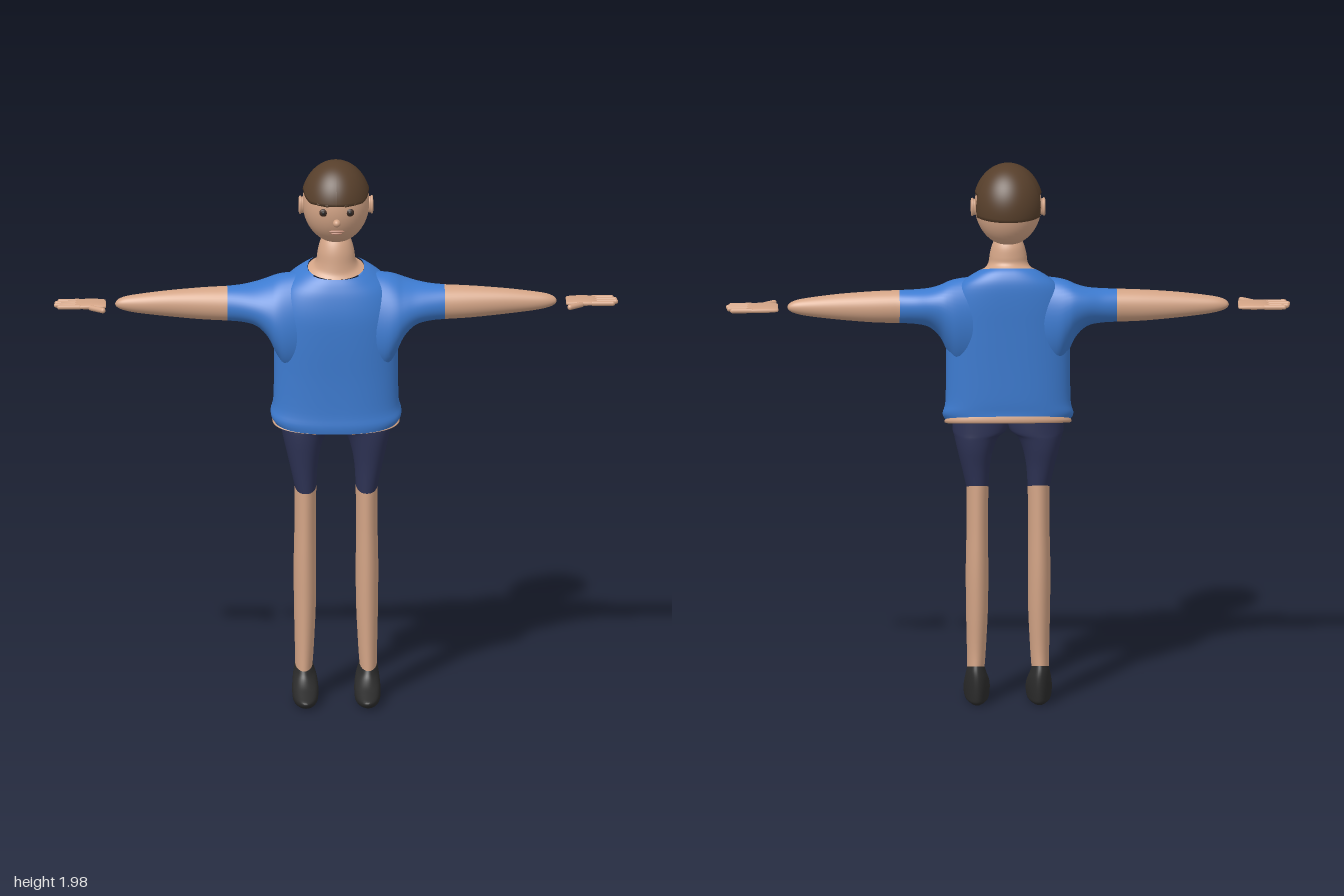
import * as THREE from 'three';

const mat = (name, color, side = THREE.FrontSide) => {
  const m = new THREE.MeshStandardMaterial({ color, side });
  m.name = name;
  return m;
};

// Smooth in-between rows for the lofts
function refine(rows, steps) {
  const out = [];
  const at = i => rows[Math.min(Math.max(i, 0), rows.length - 1)];
  for (let i = 0; i < rows.length - 1; i++) {
    for (let k = 0; k < steps; k++) {
      const t = k / steps;
      out.push(rows[i].map((b, c) => {
        const a = at(i - 1)[c], d = at(i + 1)[c], e = at(i + 2)[c];
        return b + 0.5 * t * (d - a + t * (2 * a - 5 * b + 4 * d - e + t * (3 * (b - d) + e - a)));
      }));
    }
  }
  out.push(rows[rows.length - 1]);
  return out;
}

// Closed skin over rings; ring(row, cos, sin) gives a point
function loft(rows, ring, { n = 40, p = 2, steps = 4, capStart = false, capEnd = false } = {}) {
  const all = refine(rows, steps), pos = [], idx = [];
  const pw = v => Math.sign(v) * Math.abs(v) ** (2 / p);
  for (const r of all) {
    for (let j = 0; j < n; j++) {
      const a = (j / n) * Math.PI * 2;
      pos.push(...ring(r, pw(Math.cos(a)), pw(Math.sin(a))));
    }
  }
  for (let i = 0; i < all.length - 1; i++) {
    for (let j = 0; j < n; j++) {
      const a = i * n + j, b = i * n + (j + 1) % n;
      idx.push(a, a + n, b, b, a + n, b + n);
    }
  }
  const cap = (row, start, flip) => {
    const c = pos.length / 3;
    pos.push(...ring(row, 0, 0));
    for (let j = 0; j < n; j++) {
      const a = start + j, b = start + (j + 1) % n;
      idx.push(c, ...(flip ? [b, a] : [a, b]));
    }
  };
  if (capStart) cap(all[0], 0, false);
  if (capEnd) cap(all[all.length - 1], (all.length - 1) * n, true);
  const g = new THREE.BufferGeometry();
  g.setAttribute('position', new THREE.Float32BufferAttribute(pos, 3));
  g.setIndex(idx);
  g.computeVertexNormals();
  return g;
}

// Upright rows: [y, centre x, half width, front z, back z, forward slope]
const upright = ([y, cx, hx, zf, zb, s], c, d) => {
  const z = (zf + zb) / 2 + d * (zf - zb) / 2;
  return [cx + c * hx, y - s * z, z];
};
// Sideways rows: [x, top y, bottom y, front z, back z, forward slope]
const sideways = ([x, yt, yb, zf, zb, s], c, d) => {
  const dz = -d * (zf - zb) / 2;
  return [x, (yt + yb) / 2 + c * (yt - yb) / 2 - s * dz, (zf + zb) / 2 + dz];
};

function mirrored(geo) {
  const g = geo.clone().scale(-1, 1, 1);
  const ix = g.index.array;
  for (let i = 0; i < ix.length; i += 3) [ix[i], ix[i + 1]] = [ix[i + 1], ix[i]];
  return g;
}

const ball = (x, y, z, rx, ry, rz) => new THREE.SphereGeometry(1, 24, 16).scale(rx, ry, rz).translate(x, y, z);

// Rounded rod between two points
function rod(a, b, r) {
  const A = new THREE.Vector3(...a), B = new THREE.Vector3(...b), d = B.clone().sub(A);
  const q = new THREE.Quaternion().setFromUnitVectors(new THREE.Vector3(0, 1, 0), d.clone().normalize());
  return new THREE.CapsuleGeometry(r, d.length(), 6, 14).applyQuaternion(q).translate(...A.add(B).multiplyScalar(0.5).toArray());
}

export function createModel() {
  const skin = mat('skin', 0xd3a486), shirt = mat('shirt blue', 0x3d7bd0), navy = mat('shorts navy', 0x2d3254);
  const hair = mat('hair brown', 0x573f2b, THREE.DoubleSide), black = mat('shoe black', 0x2b2b2b);
  const eye = mat('eye brown', 0x3b2a22), lip = mat('lip pink', 0xbd8874);
  const model = new THREE.Group();
  model.name = 'standingBoy';
  const add = (name, geo, m) => {
    const mesh = new THREE.Mesh(geo, m);
    mesh.name = name;
    model.add(mesh);
  };
  const pair = (name, geo, m) => {
    add(name + 'Left', geo, m);
    add(name + 'Right', mirrored(geo), m);
  };

  // Shirt body with slanted, flared hem
  const hem = [1.032, 0, 0.222, 0.085, -0.122, 0.36], collar = [1.58, 0, 0.1, 0.05, -0.1, 0.35];
  add('shirtBody', loft([
    hem, [1.055, 0, 0.232, 0.088, -0.122, 0.32], [1.1, 0, 0.222, 0.084, -0.125, 0.3],
    [1.22, 0, 0.22, 0.085, -0.128, 0.3], [1.35, 0, 0.219, 0.09, -0.132, 0.3],
    [1.45, 0, 0.212, 0.09, -0.135, 0.3], [1.52, 0, 0.185, 0.078, -0.132, 0.3],
    [1.56, 0, 0.135, 0.063, -0.117, 0.33], collar,
  ], upright, { n: 64, p: 2.5 }), shirt);
  add('hemUnderside', loft([
    hem, [1.024, 0, 0.226, 0.086, -0.126, 0.26], [1.02, 0, 0.205, 0.075, -0.112, 0.25],
    [1.035, 0, 0.15, 0.05, -0.08, 0.25],
  ].reverse(), upright, { n: 64, p: 2.5, capStart: true, steps: 2 }), skin);

  // Neck
  add('neck', loft([
    collar, [1.592, 0, 0.08, 0.041, -0.092, 0.33], [1.615, 0, 0.069, 0.036, -0.087, 0.2],
    [1.65, 0, 0.065, 0.031, -0.086, 0], [1.685, 0, 0.056, 0.02, -0.08, 0], [1.72, 0, 0.04, 0, -0.06, 0],
  ], upright, { capEnd: true }), skin);

  // Sleeves and forearms
  const cuff = [0.385, 1.517, 1.397, 0.032, -0.085, 0.1];
  pair('sleeve', loft([
    [0.08, 1.57, 1.22, 0.06, -0.11, 0.3], [0.17, 1.56, 1.22, 0.08, -0.13, 0.3],
    [0.21, 1.55, 1.28, 0.08, -0.131, 0.3], [0.24, 1.537, 1.343, 0.07, -0.126, 0.28],
    [0.28, 1.526, 1.382, 0.055, -0.115, 0.22], [0.33, 1.52, 1.394, 0.042, -0.098, 0.15], cuff,
  ], sideways, { n: 48 }), shirt);
  pair('forearm', loft([
    cuff, [0.48, 1.513, 1.401, 0.025, -0.08, 0.05], [0.6, 1.504, 1.412, 0.015, -0.07, 0],
    [0.7, 1.492, 1.424, 0.005, -0.06, 0], [0.75, 1.483, 1.434, -0.003, -0.052, 0],
    [0.775, 1.471, 1.445, -0.013, -0.042, 0], [0.782, 1.459, 1.455, -0.024, -0.03, 0],
  ], sideways, { capEnd: true }), skin);

  // Hands
  pair('palm', loft([
    [0.815, 1.461, 1.452, 0.004, -0.064, 0], [0.82, 1.465, 1.448, 0.014, -0.073, 0],
    [0.86, 1.468, 1.445, 0.016, -0.076, 0], [0.91, 1.466, 1.446, 0.015, -0.075, 0],
    [0.93, 1.459, 1.452, 0.006, -0.068, 0],
  ], sideways, { p: 2.8, steps: 3, capStart: true, capEnd: true }), skin);
  [0.977, 0.988, 0.991, 0.98].forEach((tip, i) => {
    const z = -0.066 + i * 0.0242;
    pair('finger' + (i + 1), rod([0.91, 1.456, z], [tip, 1.456, z], 0.009), skin);
  });
  pair('thumb', rod([0.868, 1.454, 0.012], [0.828, 1.454, 0.045], 0.01), skin);

  // Shorts, legs and shoes
  const cut = [0.785, 0.1085, 0.039, 0.047, -0.089, 0.31], ankle = [0.125, 0.114, 0.031, 0.042, -0.082, 0.27];
  pair('shortsLeg', loft([
    cut, [0.87, 0.115, 0.051, 0.052, -0.098, 0.12], [0.94, 0.116, 0.066, 0.058, -0.108, 0],
    [0.985, 0.111, 0.081, 0.06, -0.112, 0], [1.01, 0.1, 0.097, 0.06, -0.112, 0], [1.08, 0.095, 0.1, 0.055, -0.11, 0],
  ], upright, { p: 2.2 }), navy);
  pair('leg', loft([
    ankle, [0.2, 0.112, 0.034, 0.042, -0.081, 0.1], [0.35, 0.11, 0.039, 0.044, -0.09, 0],
    [0.5, 0.11, 0.04, 0.046, -0.095, 0], [0.65, 0.109, 0.038, 0.046, -0.092, 0.1], cut,
  ], upright), skin);
  pair('shoe', loft([
    [0, 0.11, 0.028, 0.12, -0.07, 0], [0.011, 0.11, 0.042, 0.155, -0.09, 0], [0.03, 0.11, 0.046, 0.166, -0.095, 0],
    [0.06, 0.11, 0.046, 0.13, -0.097, 0.1], [0.085, 0.111, 0.042, 0.085, -0.095, 0.2],
    [0.105, 0.113, 0.036, 0.055, -0.09, 0.25], ankle,
  ], upright, { capStart: true }), black);

  // Head
  const H = { y: 1.83, z: -0.026, rx: 0.119, ry: 0.146, rz: 0.127 };
  add('head', new THREE.SphereGeometry(1, 48, 32).scale(H.rx, H.ry, H.rz).translate(0, H.y, H.z), skin);
  const faceZ = (x, y) => H.z + H.rz * Math.sqrt(1 - (x / H.rx) ** 2 - ((y - H.y) / H.ry) ** 2);

  // Hair cap: low at the nape, raised over the ears, fringe in front
  const cap = new THREE.SphereGeometry(1, 96, 24), P = cap.attributes.position, cols = 97;
  for (let i = 0; i < P.count; i++) {
    const row = Math.floor(i / cols), az = ((i % cols) / (cols - 1)) * Math.PI * 2, c = Math.cos(az);
    const edge = c < -0.34 ? 1.798 : c < 0.2 ? 1.876 : 1.876 - 0.028 * Math.min(1, (c - 0.2) / 0.45);
    const th = Math.acos((edge - 1.83) / 0.15) * Math.min(1, row / 23), k = row === 24 ? 0.9 : 1;
    P.setXYZ(i, 0.124 * k * Math.sin(th) * Math.sin(az), 1.83 + 0.15 * Math.cos(th), -0.029 + 0.134 * k * Math.sin(th) * c);
  }
  cap.computeVertexNormals();
  add('hair', cap, hair);

  // Face and ears
  pair('eye', ball(0.047, 1.823, faceZ(0.047, 1.823), 0.015, 0.014, 0.007), eye);
  pair('pupil', ball(0.047, 1.823, faceZ(0.047, 1.823) + 0.004, 0.007, 0.007, 0.005), black);
  pair('eyebrow', rod([0.032, 1.849, faceZ(0.032, 1.849)], [0.066, 1.851, faceZ(0.066, 1.851)], 0.005), hair);
  add('nose', ball(0, 1.786, 0.1, 0.014, 0.014, 0.016), skin);
  add('upperLip', ball(0, 1.75, faceZ(0, 1.75), 0.028, 0.005, 0.006), lip);
  add('lowerLip', ball(0, 1.741, faceZ(0, 1.741), 0.02, 0.005, 0.006), lip);
  pair('ear', ball(0.12, 1.82, -0.022, 0.011, 0.03, 0.021), skin);
  pair('earRim', new THREE.TorusGeometry(0.019, 0.005, 10, 28).rotateY(Math.PI / 2).scale(1, 1.4, 1).translate(0.127, 1.82, -0.022), skin);
  return model;
}
